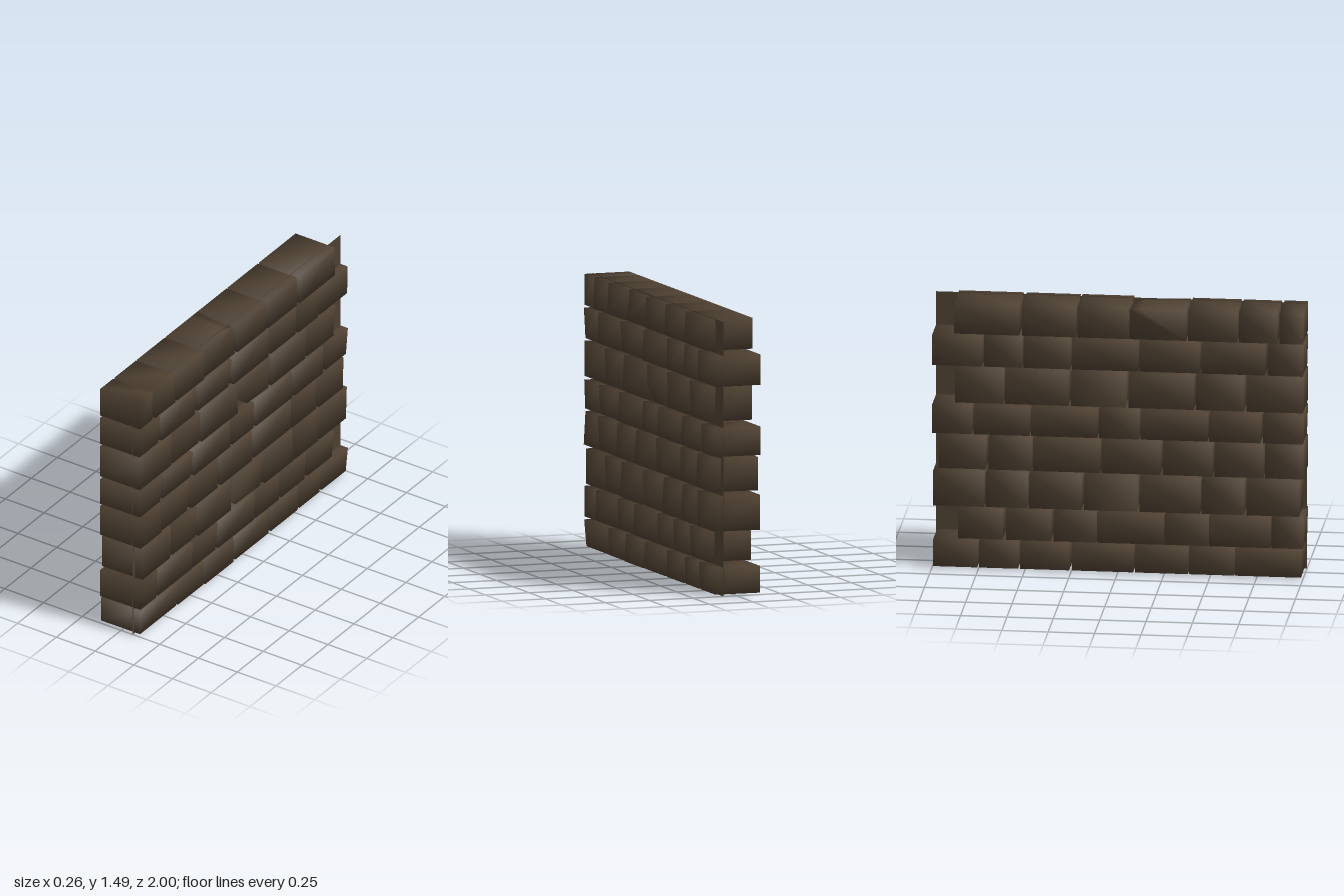
import * as THREE from 'three';

const stoneMat = new THREE.MeshStandardMaterial({ color: 0x4e4031 });
stoneMat.name = 'brownStone';
const mortarMat = new THREE.MeshStandardMaterial({ color: 0x4d3f32, side: THREE.DoubleSide });
mortarMat.name = 'brownMortar';

const BACK = -0.135, FRONT = 0.121;

// Courses from the ground up: height range, then the z ends of each stone
const courses = [
  { y: [0.01, 0.155], z: [0.99, 0.635, 0.63, 0.385, 0.38, 0.095, 0.085, -0.245, -0.26, -0.525, -0.535, -0.745, -0.755, -0.995] },
  { y: [0.17, 0.335], z: [1, 0.83, 0.825, 0.495, 0.49, 0.255, 0.25, -0.11, -0.115, -0.345, -0.36, -0.6, -0.62, -0.86] },
  { y: [0.35, 0.54], z: [0.98, 0.695, 0.68, 0.455, 0.445, 0.12, 0.105, -0.18, -0.195, -0.475, -0.485, -0.71, -0.72, -0.995], chip: [3, 'low', 0.03] },
  { y: [0.56, 0.74], z: [1, 0.795, 0.785, 0.525, 0.51, 0.245, 0.23, -0.085, -0.095, -0.455, -0.465, -0.695, -0.71, -0.965] },
  { y: [0.755, 0.91], z: [1, 0.785, 0.77, 0.495, 0.485, 0.125, 0.115, -0.1, -0.11, -0.465, -0.475, -0.775, -0.785, -1] },
  { y: [0.93, 1.12], z: [1, 0.695, 0.68, 0.425, 0.41, 0.06, 0.045, -0.25, -0.265, -0.605, -0.615, -0.875], chip: [3, 'low', 0.07] },
  { y: [1.135, 1.3], z: [1, 0.81, 0.795, 0.455, 0.44, 0.12, 0.11, -0.245, -0.255, -0.505, -0.515, -0.72, -0.73, -1] },
  { y: [1.315, 1.482], z: [1, 0.875, 0.86, 0.655, 0.645, 0.38, 0.37, 0.06, 0.065, -0.215, -0.225, -0.515, -0.53, -0.88], chip: [3, 'high', 0.05] },
];

let seed = 11;
const random = () => (seed = (seed * 16807) % 2147483647) / 2147483647;

// Smooth-shaded block joining a back outline to a front outline of [x, y, z] corners
function block(back, front) {
  const n = front.length, index = [];
  for (let i = 0; i < n; i++) {
    const j = (i + 1) % n;
    index.push(n + i, i, j, n + i, j, n + j);
    if (i > 0 && i < n - 1) index.push(n, n + i, n + i + 1, 0, i + 1, i);
  }
  const geo = new THREE.BufferGeometry();
  geo.setAttribute('position', new THREE.Float32BufferAttribute([...back, ...front].flat(), 3));
  geo.setIndex(index);
  geo.computeVertexNormals();
  return geo;
}

// One stone with a slightly tilted, skewed face and an optional broken corner
function stone(y0, y1, z0, z1, chip) {
  const back = [[BACK, y0, z0], [BACK, y0, z1], [BACK, y1, z1], [BACK, y1, z0]];
  const lean = (random() - 0.5) * 0.012, skew = random() * 0.02;
  const front = back.map(([, y, z], i) => [FRONT + (i < 2 ? lean : -lean), y, z]);
  front[1][2] += skew;
  front[0][2] -= skew * 0.3;
  if (chip) {
    const [, end, size] = chip;
    if (end === 'low') {
      // lower corner on the +z side
      back.splice(1, 0, [BACK, y0, z0 - size * 1.3]);
      front[0][1] += size;
      front.splice(1, 0, [FRONT - 0.01, y0, z0 - size * 1.3]);
    } else {
      // upper corner on the -z side, with the top edge broken back
      back.splice(3, 0, [BACK, y1, z1 + size * 1.3]);
      front[2][0] = 0.08;
      front[2][1] -= size * 0.6;
      front[3][0] = 0.1;
      front.splice(3, 0, [0.085, y1 - 0.005, z1 + size * 1.3]);
    }
  }
  return block(back, front);
}

export function createModel() {
  const wall = new THREE.Group();
  wall.name = 'stoneWall';

  // Courses of stones
  courses.forEach(({ y, z, chip }, row) => {
    const course = new THREE.Group();
    course.name = `course${row + 1}`;
    for (let i = 0; i < z.length / 2; i++) {
      const broken = chip && chip[0] === i ? chip : null;
      const mesh = new THREE.Mesh(stone(y[0], y[1], z[2 * i], z[2 * i + 1], broken), stoneMat);
      mesh.name = broken ? 'chippedStone' : 'stone';
      course.add(mesh);
    }
    wall.add(course);
  });

  // Thin mortar sheet seen between the stones
  const mortar = new THREE.Mesh(new THREE.PlaneGeometry(2, 1.485), mortarMat);
  mortar.name = 'mortarSheet';
  mortar.rotation.y = Math.PI / 2;
  mortar.position.set(0.075, 0.7425, 0);
  wall.add(mortar);

  return wall;
}
